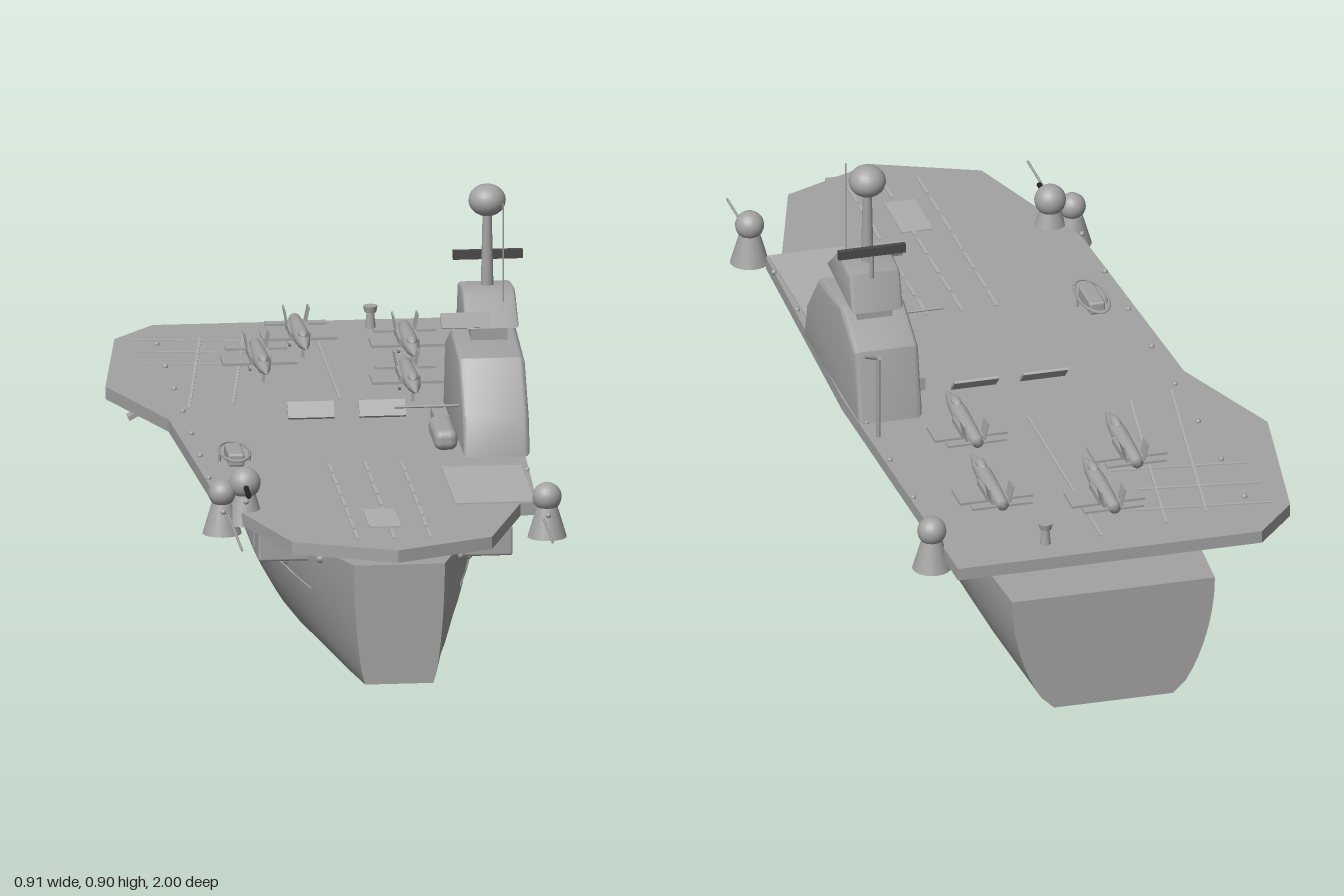
import * as THREE from 'three';
import { toCreasedNormals } from 'three/addons/utils/BufferGeometryUtils.js';
import { RoundedBoxGeometry } from 'three/addons/geometries/RoundedBoxGeometry.js';

const mat = (name, color) => Object.assign(new THREE.MeshStandardMaterial({ color }), { name });
const grey = mat('ship grey', 0xa3a3a3);
const pale = mat('pale deck marking', 0xafafaf);
const dark = mat('radar dark grey', 0x4a4a4a);
const black = mat('gun black', 0x222222);
const CX = 0.045; // hull centreline

function add(parent, name, geo, x = 0, y = 0, z = 0, m = grey) {
  const mesh = new THREE.Mesh(geo, m);
  mesh.name = name;
  mesh.position.set(x, y, z);
  parent.add(mesh);
  return mesh;
}
const box = (w, h, d) => new THREE.BoxGeometry(w, h, d);
const ball = (r) => new THREE.SphereGeometry(r, 20, 14);
const cyl = (a, b, h, n = 16) => new THREE.CylinderGeometry(a, b, h, n);

// thin round bar between two points
function bar(parent, name, a, b, r, m = grey) {
  const p = new THREE.Vector3(...a), q = new THREE.Vector3(...b);
  const d = q.clone().sub(p);
  const mesh = add(parent, name, cyl(r, r, d.length(), 8), 0, 0, 0, m);
  mesh.position.copy(p).add(q).multiplyScalar(0.5);
  mesh.quaternion.setFromUnitVectors(new THREE.Vector3(0, 1, 0), d.normalize());
  return mesh;
}

// side profile of [z, y] points, extruded across x with a rounded edge
function sideSolid(profile, x0, x1, bevel) {
  const shape = new THREE.Shape(profile.map(([z, y]) => new THREE.Vector2(-z, y)));
  const geo = new THREE.ExtrudeGeometry(shape, {
    depth: x1 - x0 - 2 * bevel, bevelEnabled: true, bevelSize: bevel,
    bevelOffset: -bevel, bevelThickness: bevel, bevelSegments: 3 });
  return toCreasedNormals(geo.rotateY(Math.PI / 2).translate(x0 + bevel, 0, 0), 0.6);
}

// hull stations: z, top half width, bottom half width, sheer y, keel y
const stations = [
  [1, 0.1, 0.075, 0.325, 0.055], [0.8, 0.152, 0.093, 0.31, 0.038], [0.6, 0.193, 0.11, 0.297, 0.024],
  [0.4, 0.226, 0.128, 0.286, 0.013], [0.2, 0.247, 0.142, 0.278, 0.005], [0, 0.255, 0.15, 0.272, 0.001],
  [-0.4, 0.255, 0.15, 0.27, 0], [-0.7, 0.248, 0.146, 0.27, 0], [-1, 0.23, 0.135, 0.27, 0]];
const bulge = (t) => Math.pow(Math.sin(t * Math.PI / 2), 0.65);

function hullHalfWidth(z, y) {
  let i = 0;
  while (i < stations.length - 2 && stations[i + 1][0] > z) i++;
  const f = (stations[i][0] - z) / (stations[i][0] - stations[i + 1][0]);
  const [, wt, wb, top, keel] = stations[i].map((v, k) => v + (stations[i + 1][k] - v) * f);
  return wb + (wt - wb) * bulge((y - keel) / (top - keel));
}

function hullGeometry() {
  const pos = [], idx = [], N = 10, ring = 2 * (N + 1);
  for (const [z, wt, wb, top, keel] of stations) {
    for (let k = 0; k < ring; k++) {
      const t = k <= N ? k / N : (ring - 1 - k) / N;
      const w = wb + (wt - wb) * bulge(t);
      pos.push(CX + (k <= N ? w : -w), keel + (top - keel) * t, z);
    }
  }
  for (let s = 0; s < stations.length - 1; s++) {
    for (let k = 0; k < ring; k++) {
      const a = s * ring + k, b = s * ring + (k + 1) % ring;
      idx.push(a, a + ring, b, b, a + ring, b + ring);
    }
  }
  const last = (stations.length - 1) * ring;
  for (let k = 1; k < ring - 1; k++) idx.push(0, k, k + 1, last, last + k + 1, last + k);
  const geo = new THREE.BufferGeometry();
  geo.setAttribute('position', new THREE.Float32BufferAttribute(pos, 3));
  geo.setIndex(idx);
  return toCreasedNormals(geo, 0.5);
}

function jet(parent, x, z) {
  const g = new THREE.Group();
  g.name = 'jet';
  const body = [[0.001, -0.13], [0.013, -0.13], [0.017, -0.06], [0.019, 0.02], [0.015, 0.07], [0.007, 0.11], [0.001, 0.135]];
  add(g, 'fuselage', new THREE.LatheGeometry(body.map((p) => new THREE.Vector2(...p)), 14).rotateX(Math.PI / 2), 0, 0.391, 0);
  add(g, 'canopy', ball(0.011).scale(1, 0.9, 2.4), 0, 0.405, 0.05);
  add(g, 'wings', box(0.165, 0.006, 0.073), 0, 0.378, -0.04);
  add(g, 'tailplane', box(0.135, 0.005, 0.024), 0, 0.386, -0.113);
  for (const s of [-1, 1]) {
    add(g, 'tailFin', box(0.004, 0.045, 0.035), s * 0.023, 0.405, -0.1).rotation.z = -s * 0.2;
    add(g, 'intake', box(0.014, 0.018, 0.11), s * 0.016, 0.386, -0.055);
    add(g, 'mainWheel', cyl(0.008, 0.008, 0.006).rotateZ(Math.PI / 2), s * 0.02, 0.361, -0.04);
  }
  add(g, 'noseLeg', box(0.006, 0.032, 0.008), 0, 0.367, 0.055);
  g.position.set(x, 0, z);
  parent.add(g);
}

// domed gun mount on a flared base
function domeMount(parent, x, z, base, r = 0.032) {
  const g = new THREE.Group();
  g.name = 'domeMount';
  add(g, 'flaredBase', cyl(0.023, 0.043, 0.068, 20), 0, 0.034, 0);
  add(g, 'dome', ball(r), 0, 0.09, 0);
  add(g, 'baseLamp', ball(0.006), 0, 0.055, 0.03);
  g.position.set(x, base, z);
  parent.add(g);
}

export function createModel() {
  const ship = new THREE.Group();
  ship.name = 'aircraftCarrier';
  add(ship, 'hull', hullGeometry());

  // gallery block between hull and deck
  add(ship, 'gallery', new RoundedBoxGeometry(0.56, 0.066, 1.49, 2, 0.006), CX, 0.291, -0.045);
  for (const s of [-1, 1]) {
    for (let i = 0; i < 7; i++) add(ship, 'galleryPanel', box(0.006, 0.036, 0.15), CX + s * 0.281, 0.291, 0.55 - i * 0.2);
    // portholes and rubbing strake follow the hull side
    for (let i = 0; i < 14; i++) {
      const z = 0.515 - i * 0.095;
      add(ship, 'porthole', ball(0.008), CX + s * hullHalfWidth(z, 0.212), 0.212, z);
    }
    for (let i = 0; i < 10; i++) {
      const [a, b] = [i, i + 1].map((k) => 0.7 - k * 0.139);
      bar(ship, 'strake', [CX + s * hullHalfWidth(a, 0.195), 0.195, a], [CX + s * hullHalfWidth(b, 0.195), 0.195, b], 0.003);
    }
    add(ship, 'hawsehole', ball(0.01), CX + s * 0.153, 0.29, 0.8);
  }

  // flight deck with angled port side
  const outline = [[-0.3, -0.97], [-0.395, -0.86], [-0.455, -0.46], [-0.345, -0.17], [-0.305, 0.52], [-0.27, 0.62],
    [-0.18, 0.89], [0.045, 0.985], [0.26, 0.89], [0.35, 0.615], [0.388, 0.61], [0.412, -0.1], [0.39, -0.97]];
  const shape = new THREE.Shape(outline.map(([x, z]) => new THREE.Vector2(x, -z)));
  add(ship, 'flightDeck', new THREE.ExtrudeGeometry(shape, { depth: 0.028, bevelEnabled: false }).rotateX(-Math.PI / 2), 0, 0.325, 0);

  // deck elevators, catapult tracks and landing lines
  const plate = (name, w, d, x, z, m = pale) => add(ship, name, box(w, 0.004, d), x, 0.354, z, m);
  plate('forwardElevator', 0.175, 0.31, 0.295, 0.455);
  plate('bowHatch', 0.07, 0.15, 0.035, 0.715);
  for (const x of [-0.035, 0.045, 0.125]) {
    for (let i = 0; i < 7; i++) plate('catapultTrack', 0.007, 0.075, x, 0.28 + i * 0.095);
  }
  for (const [x, z] of [[-0.25, -0.55], [-0.15, -0.58]]) plate('landingLine', 0.006, 0.6, x, z).rotation.y = -0.14;
  for (const z of [-0.82, -0.72, -0.62]) plate('arrestorWire', 0.3, 0.005, -0.21, z).rotation.y = -0.14;
  plate('centreLine', 0.005, 0.6, 0.045, -0.6);
  for (let i = 0; i < 8; i++) {
    const z = -0.8 + i * 0.19;
    add(ship, 'deckLight', ball(0.006), -0.308, 0.355, z);
    add(ship, 'deckLight', ball(0.006), 0.392, 0.355, z);
  }

  // blast deflectors
  for (const x of [-0.035, 0.122]) add(ship, 'blastDeflector', box(0.102, 0.042, 0.006), x, 0.373, -0.143).rotation.x = -0.8;

  // island, bridge and wing radar
  add(ship, 'island', sideSolid([[0.222, 0.353], [0.2, 0.44], [0.105, 0.547], [-0.08, 0.57], [-0.2, 0.512], [-0.235, 0.353]], 0.265, 0.411, 0.012));
  add(ship, 'bridge', sideSolid([[0.067, 0.604], [-0.005, 0.662], [-0.03, 0.672], [-0.12, 0.662], [-0.145, 0.578]], 0.285, 0.402, 0.008));
  add(ship, 'bridgeNeck', box(0.08, 0.05, 0.12), 0.343, 0.572, -0.06);
  add(ship, 'panelRadar', box(0.108, 0.034, 0.012), 0.285, 0.621, 0.058).rotation.x = -0.35;

  // mast, dome and search radar
  add(ship, 'mast', cyl(0.01, 0.014, 0.17), 0.345, 0.75, -0.065);
  add(ship, 'mastDome', ball(0.041).scale(1, 0.87, 1), 0.345, 0.86, -0.065);
  bar(ship, 'radarPost', [0.353, 0.655, -0.13], [0.353, 0.72, -0.13], 0.005);
  add(ship, 'searchRadar', box(0.153, 0.02, 0.012), 0.353, 0.72, -0.13, dark);
  bar(ship, 'whipAerial', [0.373, 0.645, 0.01], [0.373, 0.87, 0.01], 0.002);

  // crane and yards around the island
  bar(ship, 'cranePost', [0.385, 0.353, -0.3], [0.385, 0.55, -0.3], 0.005);
  bar(ship, 'craneArm', [0.385, 0.5, -0.2], [0.385, 0.55, -0.31], 0.005);
  bar(ship, 'signalYard', [0.125, 0.44, 0.1], [0.29, 0.44, 0.1], 0.003);
  add(ship, 'sideLocker', box(0.014, 0.03, 0.09), 0.232, 0.368, -0.065);
  add(ship, 'deckTractor', new RoundedBoxGeometry(0.052, 0.046, 0.15, 3, 0.018), 0.232, 0.378, 0.095);

  // port landing-aid station
  add(ship, 'landingAid', new RoundedBoxGeometry(0.036, 0.03, 0.1, 2, 0.006), -0.237, 0.367, 0.195);
  const loop = new THREE.TorusGeometry(0.035, 0.003, 6, 24).rotateX(Math.PI / 2).scale(0.95, 1, 2.4);
  add(ship, 'landingAidRail', loop, -0.237, 0.375, 0.195);
  for (const x of [-0.27, -0.204]) bar(ship, 'railPost', [x, 0.353, 0.195], [x, 0.376, 0.195], 0.003);

  // edge mounts, forward gun and whip aerials
  domeMount(ship, 0.4, 0.7, 0.3);
  domeMount(ship, 0.415, -0.845, 0.3);
  domeMount(ship, -0.305, 0.6, 0.3, 0.03);
  domeMount(ship, -0.255, 0.6, 0.322, 0.035);
  bar(ship, 'gunBarrel', [-0.255, 0.41, 0.62], [-0.255, 0.405, 0.69], 0.006, black);
  for (const [x, z, e] of [[0.39, 0.7, 0.345], [-0.293, 0.6, 0.345]]) {
    bar(ship, 'foldedAerial', [x, e, z], [x, e, 0.92], 0.003);
  }

  // aft deck vent and port outriggers
  add(ship, 'aftVent', cyl(0.008, 0.012, 0.04), 0.172, 0.372, -0.9);
  add(ship, 'aftVentCap', cyl(0.016, 0.013, 0.014), 0.172, 0.396, -0.9);
  add(ship, 'portLocker', box(0.016, 0.046, 0.03), -0.385, 0.302, -0.73);
  add(ship, 'portOutrigger', box(0.09, 0.01, 0.03), -0.355, 0.274, -0.57).rotation.z = 0.5;
  bar(ship, 'outriggerStay', [-0.318, 0.29, -0.57], [-0.31, 0.33, -0.57], 0.004);

  for (const [x, z] of [[0, -0.72], [0.232, -0.64], [-0.107, -0.52], [0.203, -0.33]]) jet(ship, x, z);
  return ship;
}
